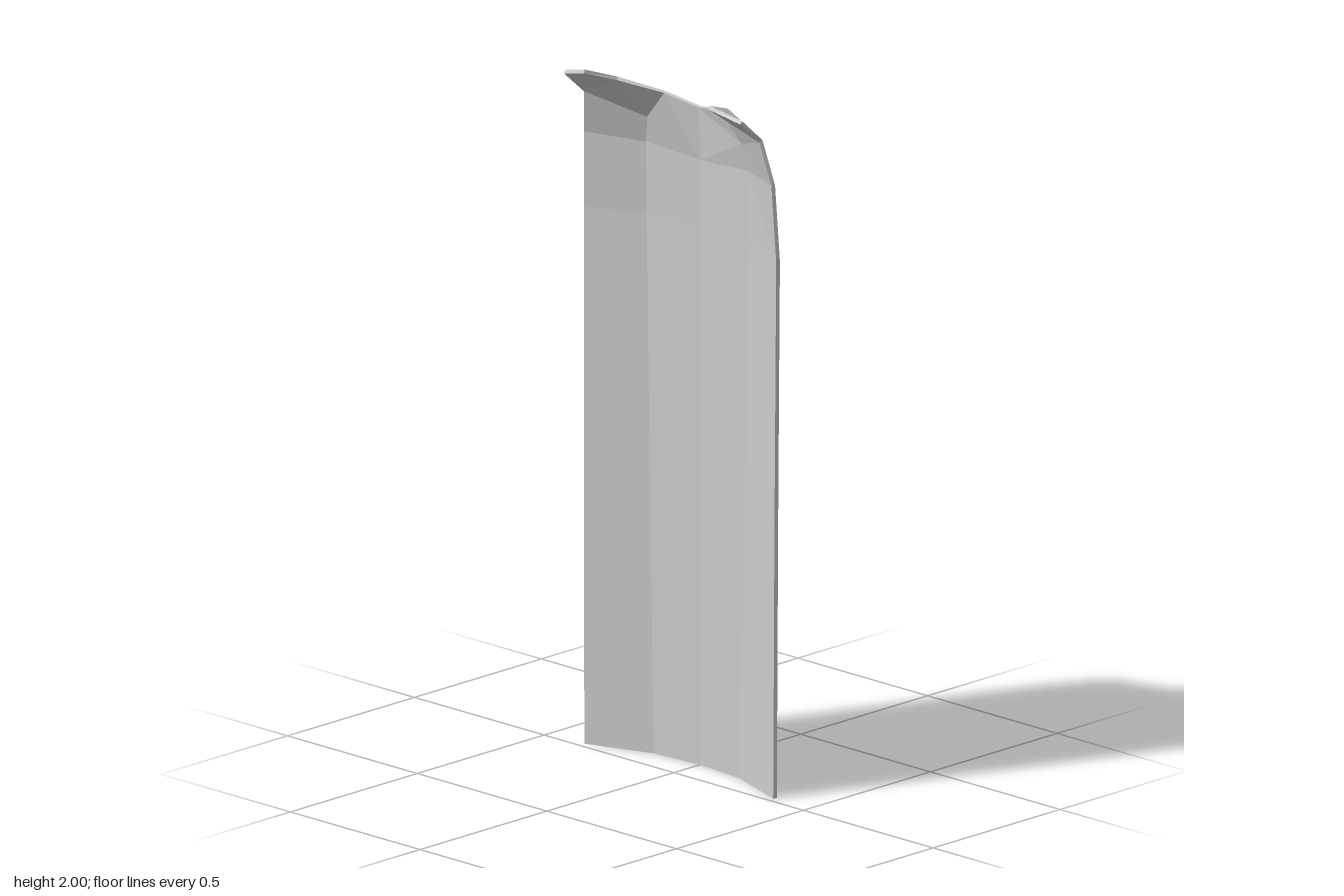
import * as THREE from 'three';

const THICKNESS = 0.011;

// Half cross-sections from the hem up: centre, fold, side edge as [x, y, z]
const ROWS = [
  [[0, 0, -0.113], [0.168, 0, -0.1], [0.368, 0, -0.03]],
  [[0, 0.78, -0.117], [0.185, 0.78, -0.103], [0.371, 0.78, -0.032]],
  [[0, 1.55, -0.12], [0.2, 1.55, -0.105], [0.375, 1.55, -0.035]],
  [[0, 1.745, -0.118], [0.2, 1.76, -0.103], [0.366, 1.77, -0.025]],
];
// Shoulder and neckline points: neck centre, neck side, shoulder fold, outer shoulder, neck top, tip pair
const COLLAR = [
  [0, 1.9, -0.107], [0.11, 1.925, -0.082], [0.185, 1.84, -0.09],
  [0.342, 1.9, 0], [0.212, 1.963, 0.003], [0.242, 2, 0.104], [0.342, 1.972, 0.08],
];

// Faces of one half, wound to face the back
function halfFaces() {
  const faces = [];
  for (let r = 0; r < ROWS.length - 1; r++) {
    for (let c = 0; c < 2; c++) {
      faces.push([ROWS[r][c + 1], ROWS[r][c], ROWS[r + 1][c], ROWS[r + 1][c + 1]]);
    }
  }
  const [p0, p1, p2] = ROWS[ROWS.length - 1];
  const [neck, neckSide, fold, shoulder, neckTop, tipIn, tipOut] = COLLAR;
  faces.push(
    [fold, p1, p0, neck, neckSide],
    [p2, p1, fold, shoulder],
    [shoulder, fold, neckSide, neckTop],
    [shoulder, neckTop, tipIn, tipOut],
  );
  return faces;
}

// Thin closed shell: outer skin, inner skin and a rim along open edges
function shellGeometry() {
  const points = [], lookup = new Map(), tris = [];
  const id = (p, side) => {
    const q = [p[0] === 0 ? 0 : p[0] * side, p[1], p[2]];
    const key = q.join();
    if (!lookup.has(key)) {
      lookup.set(key, points.length);
      points.push(new THREE.Vector3(...q));
    }
    return lookup.get(key);
  };
  for (const side of [1, -1]) {
    for (const face of halfFaces()) {
      const f = face.map((p) => id(p, side));
      if (side < 0) f.reverse();
      for (let i = 1; i < f.length - 1; i++) tris.push([f[0], f[i], f[i + 1]]);
    }
  }

  // Offset the inner skin along averaged normals
  const normals = points.map(() => new THREE.Vector3());
  for (const t of tris) {
    const [a, b, c] = t.map((i) => points[i]);
    const n = b.clone().sub(a).cross(c.clone().sub(a)).normalize();
    t.forEach((i) => normals[i].add(n));
  }
  const inner = points.map((p, i) => {
    const q = p.clone().addScaledVector(normals[i].normalize(), -THICKNESS);
    if (p.y === 0) q.y = 0;
    return q;
  });

  const out = [];
  const add = (...vs) => vs.forEach((v) => out.push(v));
  const edges = new Set();
  for (const [a, b, c] of tris) {
    add(points[a], points[b], points[c]);
    add(inner[a], inner[c], inner[b]);
    [[a, b], [b, c], [c, a]].forEach((e) => edges.add(e.join()));
  }
  for (const e of edges) {
    const [a, b] = e.split(',').map(Number);
    if (edges.has(b + ',' + a)) continue;
    add(points[b], points[a], inner[a]);
    add(points[b], inner[a], inner[b]);
  }
  const geometry = new THREE.BufferGeometry().setFromPoints(out);
  geometry.computeVertexNormals();
  return geometry;
}

export function createModel() {
  const group = new THREE.Group();
  group.name = 'cape';
  const cloth = new THREE.MeshStandardMaterial({ color: 0xcccccc, flatShading: true });
  cloth.name = 'light grey cloth';
  const cape = new THREE.Mesh(shellGeometry(), cloth);
  cape.name = 'capeCloth';
  group.add(cape);
  return group;
}
